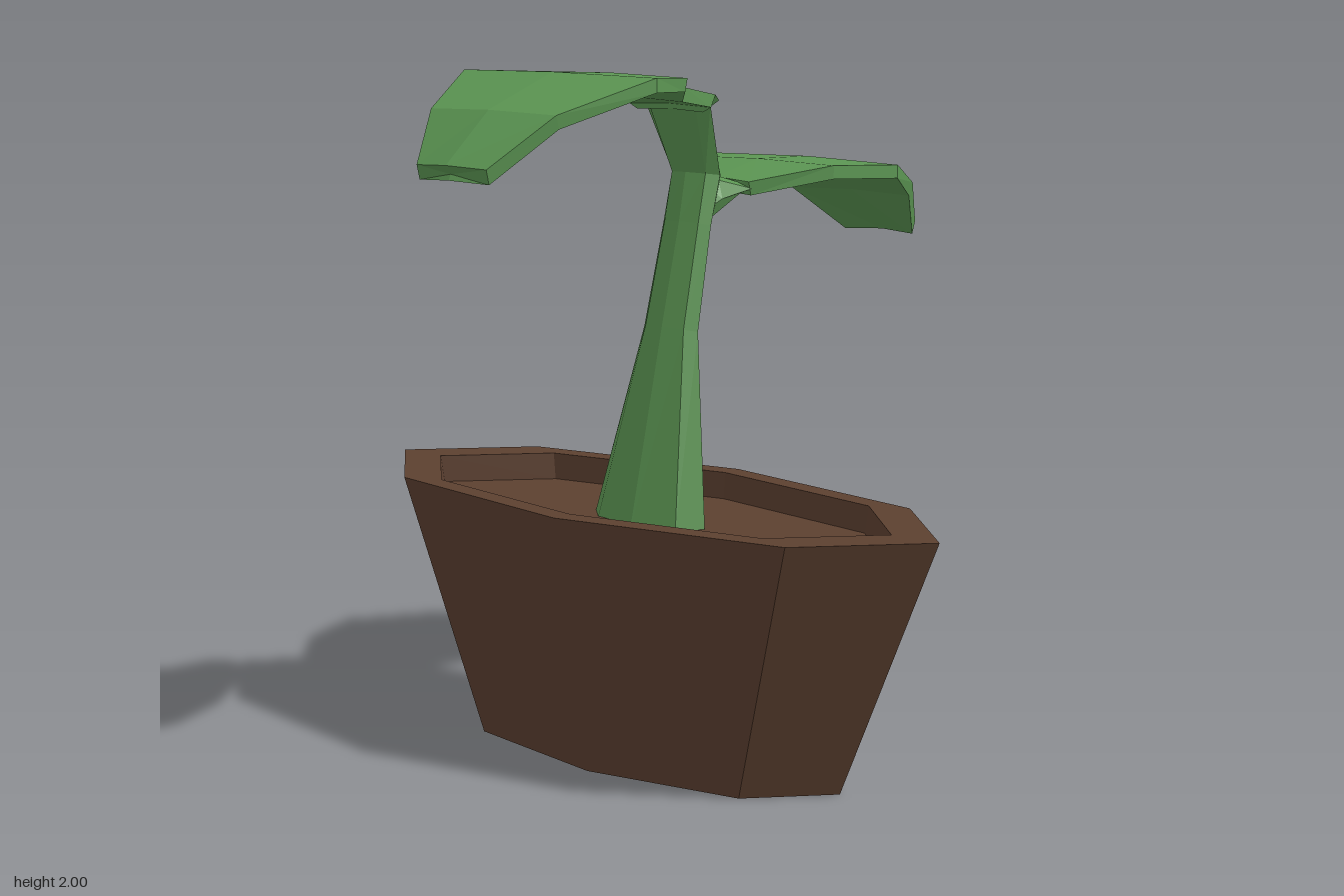
import * as THREE from 'three';

const brown = new THREE.MeshStandardMaterial({ color: 0x5c4030, flatShading: true });
const green = new THREE.MeshStandardMaterial({ color: 0x5c9653, flatShading: true });

// Octagonal ring between two outline points (ax, ay) and (bx, by), z half-width w
function stalkRing([ax, ay, bx, by, w, cz = 0]) {
  return Array.from({ length: 8 }, (_, i) => {
    const t = (i / 8) * Math.PI * 2, k = (1 - Math.cos(t)) / 2;
    return new THREE.Vector3(ax + (bx - ax) * k, ay + (by - ay) * k, cz + w * Math.sin(t));
  });
}

// Six-point blade section; bulge moves the midrib along x
function leafRing([ax, ay, bx, by, w, cz = 0, bulge = 0]) {
  return [
    new THREE.Vector3(ax, ay, cz + w), new THREE.Vector3(ax + bulge, ay + 0.006, cz), new THREE.Vector3(ax, ay, cz - w),
    new THREE.Vector3(bx, by, cz - w), new THREE.Vector3(bx + bulge, by + 0.006, cz), new THREE.Vector3(bx, by, cz + w),
  ];
}

// Skin a row of rings, cap both ends, and turn all faces outward
function loft(name, rings) {
  const n = rings[0].length, last = rings.length - 1;
  let tris = [];
  for (let r = 0; r < last; r++) {
    for (let i = 0; i < n; i++) {
      const j = (i + 1) % n;
      const [a, b, c, d] = [rings[r][i], rings[r][j], rings[r + 1][j], rings[r + 1][i]];
      tris.push([a, b, c], [a, c, d]);
    }
  }
  const middle = ring => ring.reduce((s, p) => s.add(p), new THREE.Vector3()).divideScalar(n);
  const m0 = middle(rings[0]), m1 = middle(rings[last]);
  for (let i = 0; i < n; i++) {
    const j = (i + 1) % n;
    tris.push([m0, rings[0][j], rings[0][i]], [m1, rings[last][i], rings[last][j]]);
  }
  const volume = tris.reduce((s, [a, b, c]) => s + a.dot(b.clone().cross(c)), 0);
  if (volume < 0) tris = tris.map(([a, b, c]) => [a, c, b]);
  const geometry = new THREE.BufferGeometry().setFromPoints(tris.flat());
  geometry.computeVertexNormals();
  const mesh = new THREE.Mesh(geometry, green);
  mesh.name = name;
  return mesh;
}

export function createModel() {
  const model = new THREE.Group();
  model.name = 'pottedSeedling';

  // Tapered eight-sided pot with a rim and recessed soil
  const profile = [[0, 0], [0.685, 0], [1, 0.77], [0.845, 0.77], [0.83, 0.69], [0, 0.69]];
  const potGeometry = new THREE.LatheGeometry(profile.map(([x, y]) => new THREE.Vector2(x, y)), 8);
  potGeometry.scale(0.42, 1, 1);
  const pot = new THREE.Mesh(potGeometry, brown);
  pot.name = 'pot';
  pot.position.x = -0.19;
  model.add(pot);

  // Stem running up into the neck of the higher leaf
  model.add(loft('stem', [
    [-0.28, 0.68, -0.11, 0.68, 0.207],
    [-0.135, 1.25, -0.05, 1.23, 0.1],
    [-0.055, 1.55, 0.02, 1.53, 0.088],
    [-0.025, 1.69, 0.075, 1.675, 0.088],
    [-0.09, 1.88, -0.02, 1.9, 0.12, -0.005],
  ].map(stalkRing)));

  // Side shoot carrying the lower leaf
  model.add(loft('sideShoot', [
    [0.0, 1.68, 0.0, 1.5, 0.07],
    [0.06, 1.685, 0.02, 1.54, 0.085],
    [0.11, 1.66, 0.11, 1.62, 0.14],
  ].map(stalkRing)));

  // Arching leaves, thin at the sides and blunt at the tips
  model.add(loft('leftLeaf', [
    [0.1, 1.66, 0.11, 1.62, 0.135, 0, 0.02],
    [0.32, 1.7, 0.32, 1.66, 0.28],
    [0.55, 1.69, 0.55, 1.65, 0.35, 0, 0.025],
    [0.82, 1.61, 0.8, 1.57, 0.225, 0, 0.01],
    [0.98, 1.47, 0.965, 1.43, 0.13, 0, 0.02],
  ].map(leafRing)));
  model.add(loft('rightLeaf', [
    [-0.015, 1.9, -0.09, 1.87, 0.12, -0.005, 0],
    [-0.07, 1.92, -0.09, 1.885, 0.15, -0.005, 0],
    [-0.19, 1.945, -0.2, 1.905, 0.145, -0.015, 0],
    [-0.34, 1.982, -0.35, 1.945, 0.275, -0.015, 0],
    [-0.56, 1.994, -0.56, 1.955, 0.348, -0.015, -0.02],
    [-0.82, 1.905, -0.81, 1.868, 0.225, -0.015, -0.015],
    [-0.98, 1.77, -0.97, 1.73, 0.125, -0.015, -0.02],
  ].map(leafRing)));

  return model;
}
